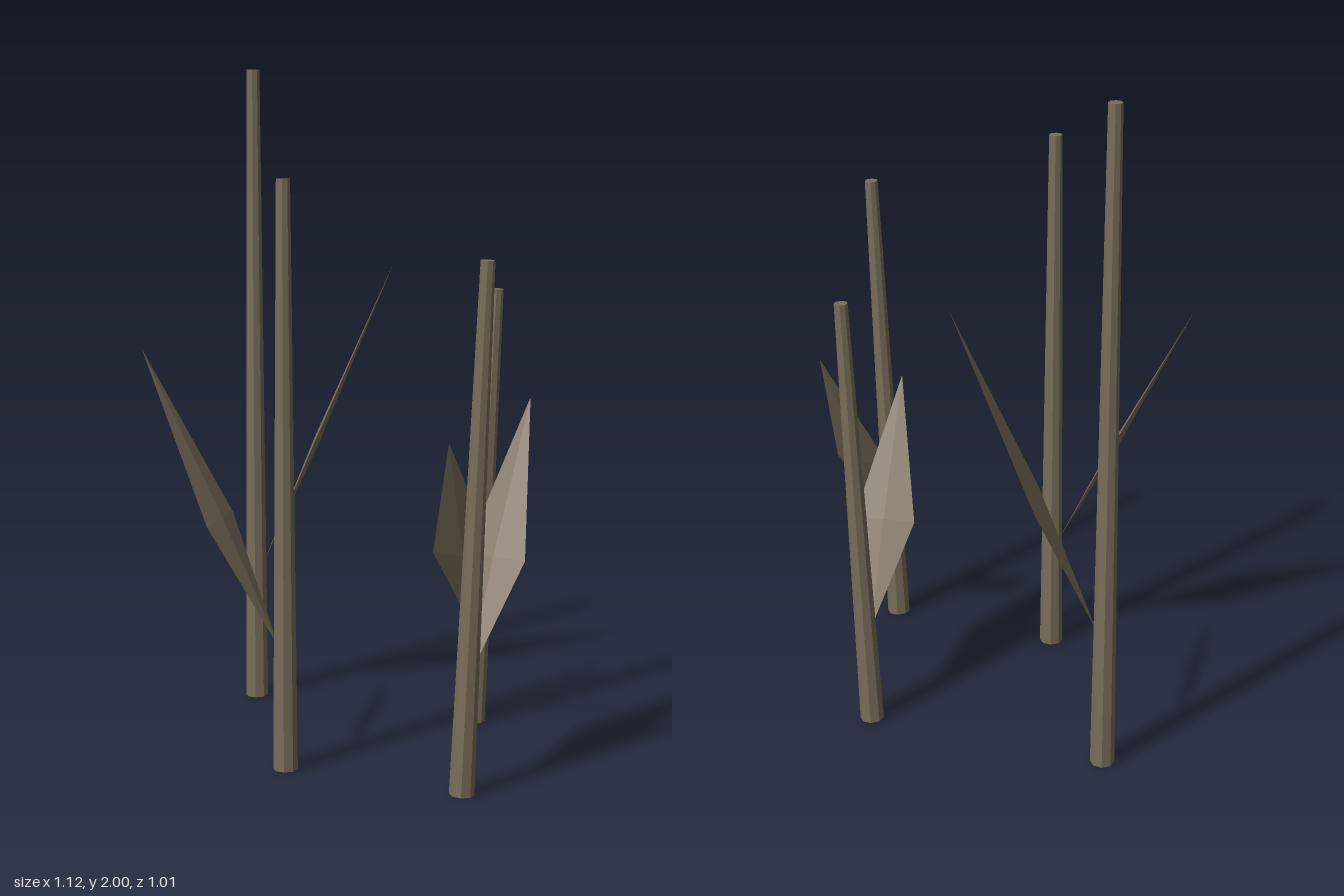
import * as THREE from 'three';
import { ConvexGeometry } from 'three/addons/geometries/ConvexGeometry.js';

const material = new THREE.MeshStandardMaterial({ color: 0x7a6e5a, flatShading: true });
const V = (p) => new THREE.Vector3(...p);

// Tapered eight-sided stem running from foot to top
function makeStem(foot, top) {
  const a = V(foot), b = V(top), dir = b.clone().sub(a);
  const mesh = new THREE.Mesh(new THREE.CylinderGeometry(0.02, 0.036, dir.length(), 8), material);
  mesh.position.copy(a).lerp(b, 0.5);
  mesh.quaternion.setFromUnitVectors(new THREE.Vector3(0, 1, 0), dir.normalize());
  mesh.name = 'stem';
  return mesh;
}

// Thin diamond blade: pointed at both ends, widest below the middle
function makeLeaf(base, tip, across) {
  const a = V(base), b = V(tip);
  const mid = a.clone().lerp(b, 0.425);
  const side = V(across).normalize();
  const normal = b.clone().sub(a).cross(side).normalize();
  const at = (dir, d) => mid.clone().addScaledVector(dir, d);
  const mesh = new THREE.Mesh(
    new ConvexGeometry([a, b, at(side, 0.094), at(side, -0.094), at(normal, 0.01), at(normal, -0.01)]),
    material);
  mesh.name = 'leaf';
  return mesh;
}

// Each reed: stem foot and top, leaf base and tip, leaf width direction
const reeds = [
  { name: 'tallReed', foot: [-0.32, 0, -0.41], top: [-0.32, 2, -0.41],
    base: [-0.30, 0.43, -0.41], tip: [0.12, 1.41, -0.41], across: [0, 0, 1] },
  { name: 'middleReed', foot: [-0.13, 0, 0.305], top: [-0.13, 1.705, 0.305],
    base: [-0.15, 0.365, 0.30], tip: [-0.56, 1.21, 0.19], across: [-0.045, -0.01, 0.185] },
  { name: 'frontReed', foot: [0.39, 0, 0.467], top: [0.447, 1.5, 0.467],
    base: [0.40, 0.32, 0.44], tip: [0.558, 1.065, 0.058], across: [0.175, 0, 0.072] },
  { name: 'shortReed', foot: [0.39, 0, -0.215], top: [0.447, 1.35, -0.215],
    base: [0.39, 0.295, -0.19], tip: [0.332, 0.955, 0.222], across: [0.185, 0, 0.026] },
];

export function createModel() {
  const model = new THREE.Group();
  model.name = 'reeds';
  for (const r of reeds) {
    const reed = new THREE.Group();
    reed.name = r.name;
    reed.add(makeStem(r.foot, r.top), makeLeaf(r.base, r.tip, r.across));
    model.add(reed);
  }
  return model;
}
